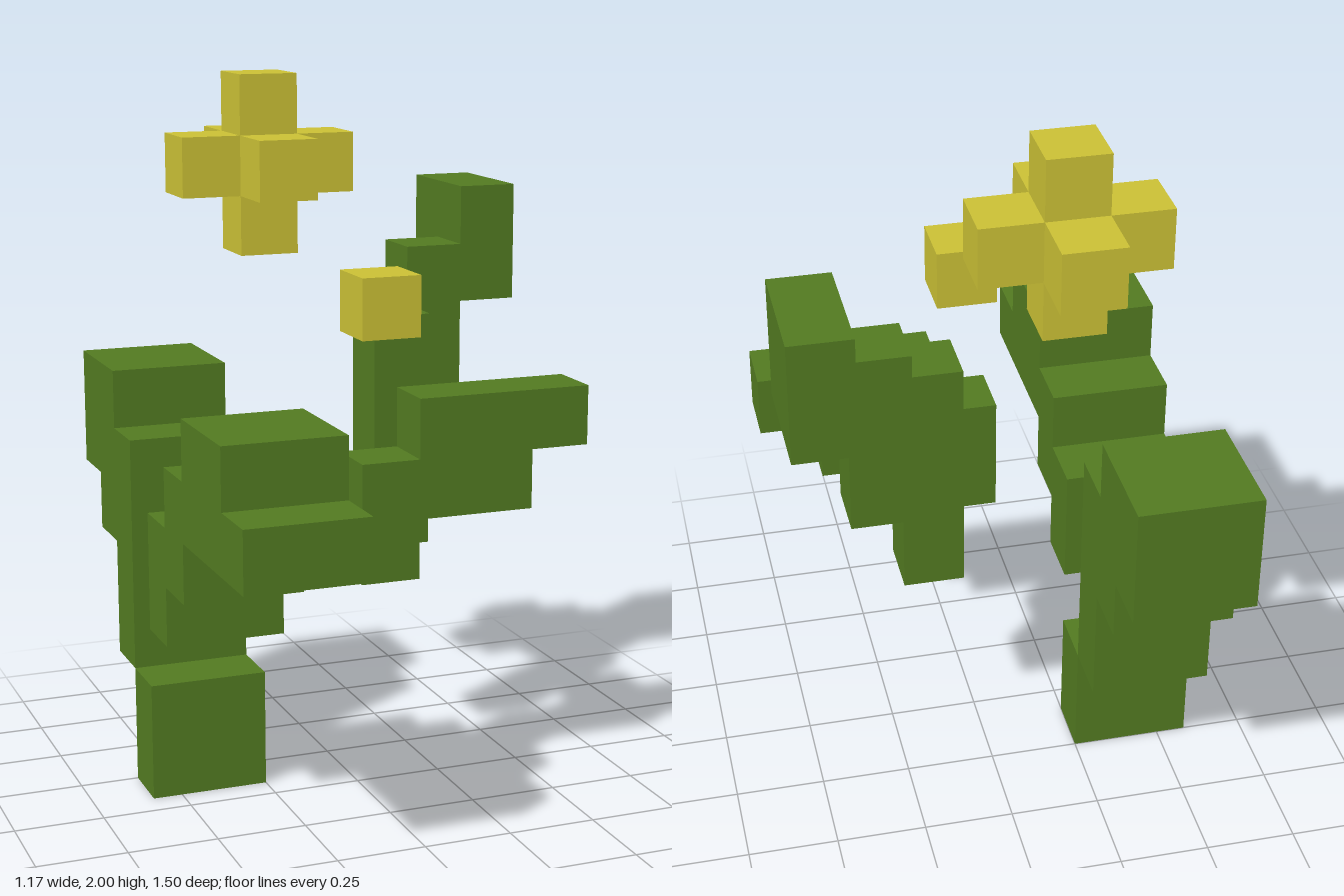
import * as THREE from 'three';

const U = 1 / 6; // size of one block; the grid is 7 wide, 12 high, 9 deep

export function createModel() {
  const model = new THREE.Group();
  model.name = 'blockPlant';
  const leafGreen = new THREE.MeshStandardMaterial({ name: 'leafGreen', color: 0x527a21 });
  const flowerYellow = new THREE.MeshStandardMaterial({ name: 'flowerYellow', color: 0xcac035 });

  // Adds a group of boxes, each given by its first cell and its size in cells
  function addPart(name, material, boxes) {
    const part = new THREE.Group();
    part.name = name;
    boxes.forEach(([x, y, z, w, h, d], n) => {
      const mesh = new THREE.Mesh(new THREE.BoxGeometry(w * U, h * U, d * U), material);
      mesh.name = `${name}Block${n + 1}`;
      mesh.position.set((x + w / 2 - 3.5) * U, (y + h / 2) * U, (z + d / 2 - 4.5) * U);
      part.add(mesh);
    });
    model.add(part);
  }

  // Wide leaves, two blocks across, stepping up to the front and the back
  addPart('base', leafGreen, [[0, 0, 3, 2, 2, 1]]);
  addPart('backLeaf', leafGreen, [
    [0, 2, 2, 2, 4, 1],
    [0, 4, 1, 2, 3, 1],
    [0, 5, 0, 2, 2, 1],
  ]);
  addPart('frontLeaf', leafGreen, [
    [0, 3, 4, 2, 2, 1],
    [0, 4, 5, 2, 2, 1],
    [0, 5, 6, 2, 2, 2],
    [0, 5, 8, 2, 1, 1],
  ]);

  // Narrow leaf reaching out to the left side
  addPart('sideLeaf', leafGreen, [
    [3, 4, 5, 1, 2, 1],
    [4, 5, 5, 2, 2, 1],
    [6, 6, 5, 1, 1, 1],
  ]);

  // Tall leaf rising diagonally to the back left corner
  addPart('cornerLeaf', leafGreen, [
    [4, 4, 3, 1, 4, 1],
    [5, 6, 2, 1, 3, 1],
    [6, 8, 1, 1, 2, 2],
  ]);

  // Flower with six arms, and a single bud
  addPart('flower', flowerYellow, [
    [2, 9, 2, 1, 3, 1],
    [1, 10, 2, 1, 1, 1],
    [3, 10, 2, 1, 1, 1],
    [2, 10, 1, 1, 1, 1],
    [2, 10, 3, 1, 1, 1],
  ]);
  addPart('bud', flowerYellow, [[3, 8, 5, 1, 1, 1]]);

  return model;
}
